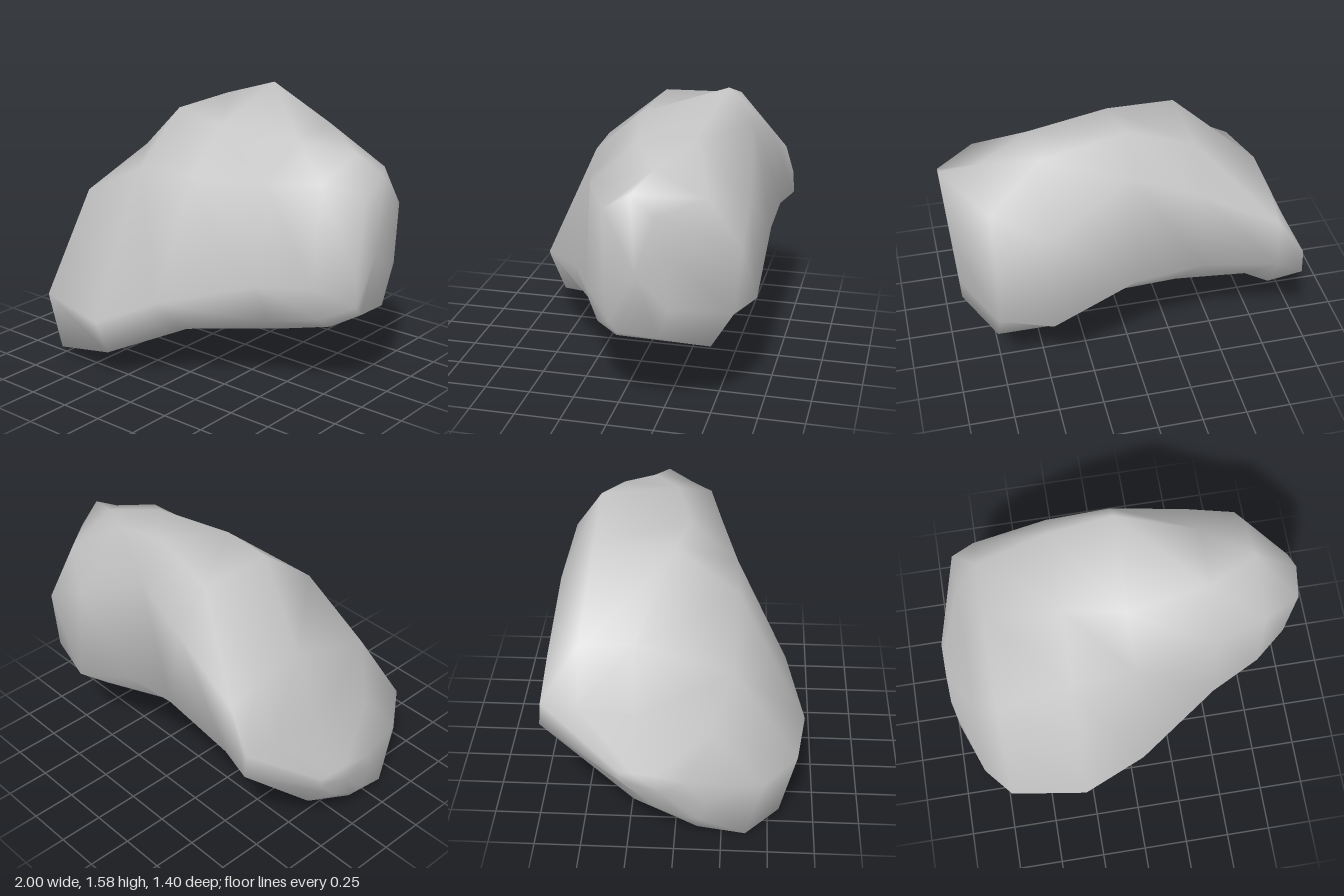
import * as THREE from 'three';

const SIDES = 9;

// One cross-section: z, y pairs running bottom, front, top, back
function ring(x, ...zy) {
  return Array.from({ length: SIDES }, (_, i) => [x, zy[2 * i + 1], zy[2 * i]]);
}

// Copy of a cross-section moved to x and shrunk towards a centre,
// leaning along x with height
function shrink(section, x, [cy, cz], sy, sz, lean) {
  return section.map(([, y, z]) =>
    [x + lean * (y - cy), cy + (y - cy) * sy, cz + (z - cz) * sz]);
}

// Skin over the cross-sections, closed by a point at the middle of each end
function loft(rings) {
  const middle = (section) =>
    [0, 1, 2].map((axis) => section.reduce((sum, p) => sum + p[axis], 0) / SIDES);
  const points = [...rings.flat(), middle(rings[0]), middle(rings.at(-1))];
  const end = points.length - 1, start = end - 1;
  const last = (rings.length - 1) * SIDES;
  const faces = [];
  for (let j = 0; j < SIDES; j++) {
    const k = (j + 1) % SIDES;
    for (let r = 0; r < last; r += SIDES) {
      const a = r + j, b = a + SIDES, c = r + k, d = c + SIDES;
      faces.push(a, b, c, b, d, c);
    }
    faces.push(start, j, k, end, last + k, last + j);
  }
  const geometry = new THREE.BufferGeometry();
  geometry.setAttribute('position', new THREE.Float32BufferAttribute(points.flat(), 3));
  geometry.setIndex(faces);
  geometry.computeVertexNormals();
  return geometry;
}

export function createModel() {
  const group = new THREE.Group();
  group.name = 'rock';

  const stone = new THREE.MeshStandardMaterial({ color: 0xc6c6c6 });
  stone.name = 'stone grey';

  // Boulder: low foot at -x, tall ridge in the middle, blunt raised end at +x
  const body = [
    ring(-0.86, -0.22, 0.22, 0.12, 0.04, 0.38, 0, 0.47, 0.34, 0.2, 0.68, -0.2, 0.78, -0.5, 0.81, -0.69, 0.83, -0.7, 0.7),
    ring(-0.72, -0.2, 0.29, 0.2, 0.06, 0.56, 0.06, 0.65, 0.42, 0.3, 0.96, -0.2, 1.13, -0.5, 1.1, -0.66, 1.03, -0.7, 0.78),
    ring(-0.3, -0.2, 0.33, 0.2, 0.2, 0.61, 0.16, 0.7, 0.37, 0.32, 1.17, -0.02, 1.45, -0.45, 1.46, -0.63, 1.25, -0.7, 0.85),
    ring(0.05, -0.25, 0.36, 0.1, 0.28, 0.4, 0.33, 0.59, 0.54, 0.3, 1.18, 0.04, 1.41, -0.44, 1.575, -0.58, 1.38, -0.69, 0.8),
    ring(0.5, -0.5, 0.4, 0.02, 0.33, 0.18, 0.42, 0.3, 0.66, 0.2, 1.19, -0.05, 1.39, -0.36, 1.42, -0.64, 1.1, -0.69, 0.57),
    ring(0.78, -0.5, 0.4, 0, 0.41, 0.1, 0.48, 0.16, 0.67, 0.13, 1.23, -0.2, 1.33, -0.48, 1.2, -0.65, 0.95, -0.62, 0.6),
  ];
  const foot = shrink(body[0], -0.97, [0.29, -0.03], 0.42, 0.38, -0.07);
  const bluntEnd = shrink(body.at(-1), 0.97, [0.95, -0.08], 0.83, 0.43, 0.06);

  const boulder = new THREE.Mesh(loft([foot, ...body, bluntEnd]), stone);
  boulder.name = 'boulder';
  group.add(boulder);
  return group;
}
